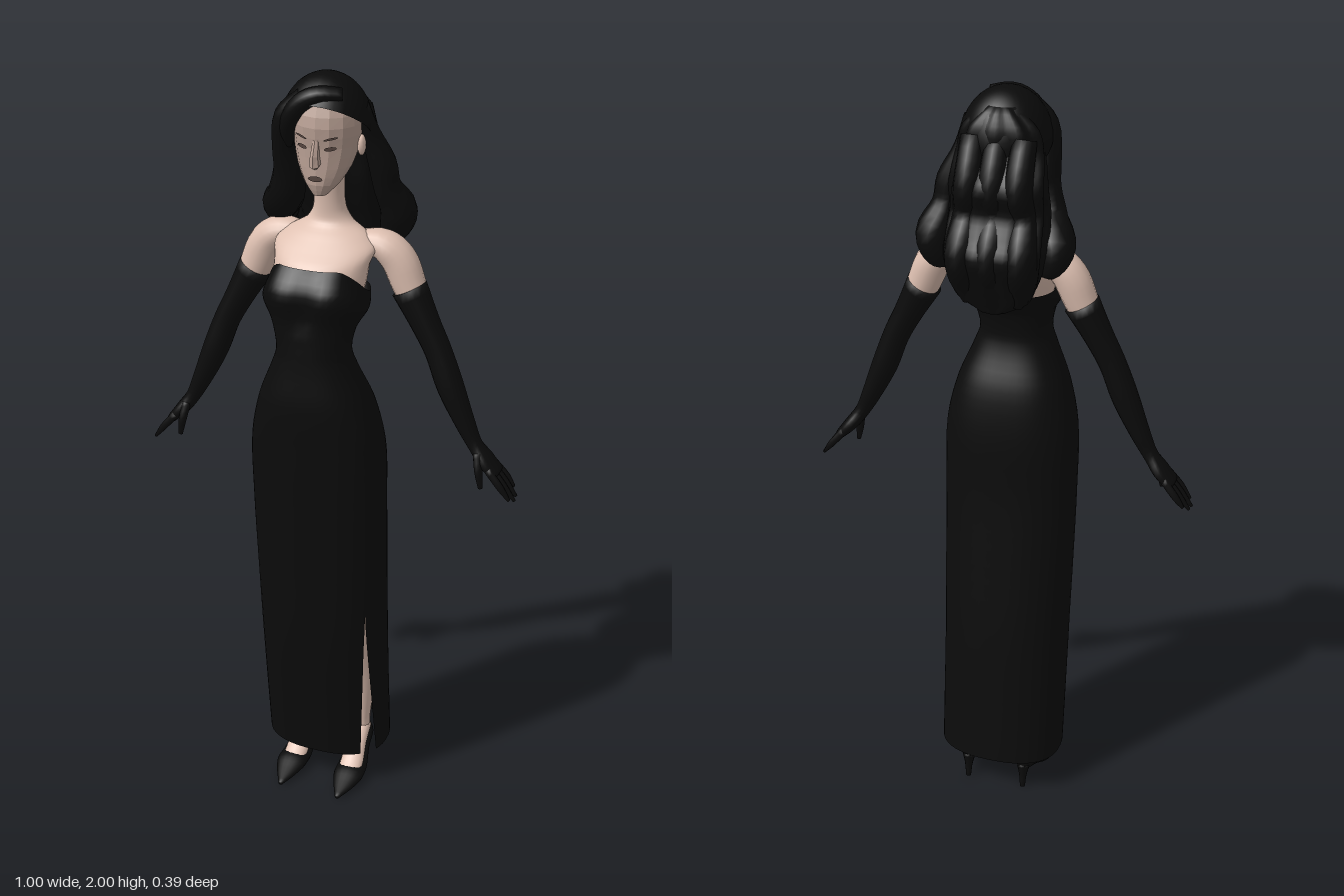
import * as THREE from 'three';

const V = (x, y, z) => new THREE.Vector3(x, y, z);
const mat = (name, color, extra = {}) =>
  Object.assign(new THREE.MeshStandardMaterial({ color, side: THREE.DoubleSide, ...extra }), { name });

// Lofts rings along points [x, y, z, radiusAlongN, radiusAcross], smoothed by a spline.
// dir fixes the ring plane; without it rings stay square to the path.
function loft(pts, { N = V(0, 0, 1), dir = null, seg = 16, sub = 4, p = 1, warp = null, range = null, caps = true } = {}) {
  const path = new THREE.CatmullRomCurve3(pts.map(q => V(q[0], q[1], q[2])));
  const size = new THREE.CatmullRomCurve3(pts.map(q => V(q[3], q[4], q[1])));
  const rows = (pts.length - 1) * sub, pos = [], idx = [];
  const pw = v => Math.sign(v) * Math.abs(v) ** p;
  for (let i = 0; i <= rows; i++) {
    const t = i / rows, c = path.getPoint(t), r = size.getPoint(t);
    const T = dir || path.getTangent(t);
    const n = N.clone().addScaledVector(T, -N.dot(T)).normalize();
    const b = n.clone().cross(T);
    const [t0, t1] = range ? range(c.y) : [0, Math.PI * 2];
    for (let j = 0; j <= seg; j++) {
      const a = t0 + (t1 - t0) * j / seg;
      const v = c.clone().addScaledVector(n, r.x * pw(Math.cos(a))).addScaledVector(b, r.y * pw(Math.sin(a)));
      if (warp) warp(v, a, c, t);
      pos.push(v.x, v.y, v.z);
    }
  }
  const w = seg + 1;
  for (let i = 0; i < rows; i++) for (let j = 0; j < seg; j++) {
    const a = i * w + j, d = range ? a + 1 : i * w + (j + 1) % seg;
    idx.push(a, a + w, d, d, a + w, d + w);
  }
  if (caps) for (const [row, flip] of [[0, false], [rows, true]]) {
    const c = path.getPoint(row / rows), k = pos.length / 3;
    pos.push(c.x, c.y, c.z);
    for (let j = 0; j < seg; j++) {
      const a = row * w + j, d = row * w + (j + 1) % seg;
      flip ? idx.push(k, d, a) : idx.push(k, a, d);
    }
  }
  const g = new THREE.BufferGeometry();
  g.setAttribute('position', new THREE.Float32BufferAttribute(pos, 3));
  g.setIndex(idx);
  g.computeVertexNormals();
  return g;
}

// Horizontal body sections [y, halfWidth, zFront, zBack, centreX]
const body = (rows, opt = {}) => loft(
  rows.map(([y, a, f, b, x = 0]) => [x, y, (f + b) / 2, a, (f - b) / 2]),
  { N: V(1, 0, 0), dir: V(0, 1, 0), seg: 28, ...opt });

export function createModel() {
  const model = new THREE.Group();
  const black = mat('black cloth', 0x0b0b0b);
  const hairMat = mat('black hair', 0x0a0a0a);
  const skin = mat('skin', 0xdec0b1);
  const faceMat = mat('shaded face skin', 0xb9a094, { flatShading: true });
  const makeup = mat('dark makeup', 0x55453f);
  const add = (name, geo, m, parent = model) => {
    const mesh = new THREE.Mesh(geo, m);
    mesh.name = name;
    parent.add(mesh);
    return mesh;
  };

  // Long strapless dress, open along a slit at the front left
  const slit = 0.61;
  add('dress', body([
    [0.11, 0.168, 0.115, -0.13], [0.3, 0.169, 0.138, -0.11], [0.5, 0.17, 0.16, -0.09], [0.7, 0.173, 0.171, -0.066],
    [0.9, 0.175, 0.181, -0.045], [1.08, 0.172, 0.19, -0.035], [1.2, 0.145, 0.195, -0.015], [1.29, 0.108, 0.188, 0.02],
    [1.34, 0.092, 0.185, 0.03], [1.42, 0.108, 0.183, 0.015], [1.5, 0.13, 0.198, -0.015], [1.56, 0.12, 0.155, -0.04],
  ], {
    p: 0.82, seg: 48, caps: false,
    range: y => {
      const gap = 0.2 * Math.max(0, (0.58 - y) / 0.47);
      return [slit + gap, slit + Math.PI * 2 - gap];
    },
    warp: (v, a, c) => {
      const s = Math.sin(a), k = THREE.MathUtils.clamp((c.y - 1.4) / 0.16, 0, 1);
      if (s > 0) v.z -= 0.016 * Math.exp(-((v.x / 0.03) ** 2)) * Math.sin(k * Math.PI);
      v.y -= 0.08 * k * (1 - THREE.MathUtils.clamp((s + 0.1) / 0.9, 0, 1));
    },
  }), black);

  // Upper chest, shoulders and neck
  add('chestAndNeck', body([
    [1.36, 0.08, 0.165, 0.045], [1.44, 0.1, 0.16, 0.01], [1.5, 0.116, 0.16, -0.02], [1.55, 0.12, 0.143, -0.04],
    [1.585, 0.128, 0.1, -0.05], [1.612, 0.1, 0.065, -0.05], [1.635, 0.06, 0.036, -0.045], [1.67, 0.041, 0.032, -0.035],
    [1.77, 0.04, 0.045, -0.025],
  ]), skin);

  // Head with faceted face
  const head = new THREE.Group();
  head.name = 'head';
  model.add(head);
  add('face', body([
    [1.722, 0.018, 0.083, 0.045], [1.75, 0.044, 0.092, 0], [1.79, 0.067, 0.092, -0.04], [1.84, 0.08, 0.092, -0.07],
    [1.89, 0.085, 0.098, -0.08], [1.94, 0.077, 0.084, -0.07], [1.97, 0.04, 0.05, -0.04],
  ], { seg: 16, sub: 2 }), faceMat, head);
  add('nose', loft([[0, 1.86, 0.09, 0.008, 0.008], [0, 1.825, 0.098, 0.014, 0.011], [0, 1.803, 0.098, 0.016, 0.014],
    [0, 1.795, 0.092, 0.006, 0.006]], { seg: 6, sub: 1 }), faceMat, head);
  const plate = (name, x, y, z, w, h, ry, rz) => {
    const m = add(name, new THREE.CircleGeometry(1, 14), makeup, head);
    m.scale.set(w, h, 1);
    m.position.set(x, y, z);
    m.rotation.set(0, ry, rz);
  };
  plate('lips', 0, 1.768, 0.096, 0.018, 0.007, 0, 0);
  for (const s of [1, -1]) {
    plate('eye', s * 0.035, 1.843, 0.0885, 0.015, 0.005, s * 0.4, s * 0.12);
    plate('eyebrow', s * 0.037, 1.868, 0.091, 0.018, 0.0028, s * 0.4, s * 0.2);
    const ear = add('ear', new THREE.SphereGeometry(1, 10, 8), skin, head);
    ear.scale.set(0.01, 0.026, 0.016);
    ear.position.set(s * 0.084, 1.835, 0.008);
  }

  // Hair: crown cap, rippled back mass and rolled side locks
  const hair = new THREE.Group();
  hair.name = 'hair';
  model.add(hair);
  const cap = add('crownHair', new THREE.SphereGeometry(1, 28, 14, 0, Math.PI * 2, 0, 1.58)
    .rotateX(-0.6).scale(0.111, 0.13, 0.112), hairMat, hair);
  cap.position.set(-0.008, 1.87, 0);
  const ripple = (v, a, c) => {
    const k = 1 + 0.055 * Math.cos(9 * a + 1.2 * Math.sin(c.y * 14));
    v.x = c.x + (v.x - c.x) * k;
    v.z = c.z + (v.z - c.z) * k;
  };
  add('backHair', body([
    [1.48, 0.03, -0.115, -0.145], [1.51, 0.085, -0.09, -0.155], [1.56, 0.11, -0.065, -0.172], [1.63, 0.125, -0.045, -0.19],
    [1.68, 0.125, -0.03, -0.165], [1.73, 0.122, -0.018, -0.142], [1.79, 0.116, -0.01, -0.155], [1.86, 0.105, 0, -0.112],
    [1.92, 0.09, 0, -0.105], [1.97, 0.035, -0.02, -0.08],
  ].map(r => [...r, -0.012]), { seg: 56, warp: ripple }), hairMat, hair);
  const lock = (name, pts) => add(name, loft(pts, { seg: 14 }), hairMat, hair);
  lock('leftLock', [[0.07, 1.92, -0.01, 0.03, 0.025], [0.092, 1.85, -0.03, 0.035, 0.022], [0.118, 1.775, -0.045, 0.04, 0.034],
    [0.128, 1.715, -0.055, 0.038, 0.034], [0.148, 1.645, -0.085, 0.052, 0.046], [0.13, 1.59, -0.09, 0.035, 0.035], [0.11, 1.57, -0.09, 0.008, 0.008]]);
  lock('rightLock', [[-0.045, 1.955, 0.05, 0.03, 0.02], [-0.09, 1.9, 0.045, 0.04, 0.03], [-0.102, 1.82, 0.03, 0.042, 0.03],
    [-0.098, 1.755, 0.02, 0.038, 0.038], [-0.112, 1.69, 0, 0.045, 0.046], [-0.15, 1.635, -0.06, 0.05, 0.046], [-0.14, 1.59, -0.085, 0.03, 0.03], [-0.12, 1.575, -0.09, 0.008, 0.008]]);
  lock('sweptFringe', [[0.05, 1.965, 0.05, 0.02, 0.015], [0, 1.965, 0.07, 0.024, 0.02], [-0.045, 1.94, 0.075, 0.024, 0.024],
    [-0.078, 1.89, 0.066, 0.026, 0.022], [-0.09, 1.83, 0.05, 0.015, 0.015]]);
  for (const x of [-0.075, -0.01, 0.05])
    lock('backCurl', [[x, 1.9, -0.08, 0.025, 0.03], [x, 1.79, -0.125, 0.034, 0.034], [x * 1.1, 1.72, -0.115, 0.026, 0.034],
      [x * 1.2, 1.63, -0.15, 0.045, 0.04], [x * 1.1, 1.55, -0.13, 0.035, 0.036], [x, 1.5, -0.13, 0.012, 0.012]]);

  for (const s of [1, -1]) {
    const side = s > 0 ? 'left' : 'right';
    const limb = (name, pts, m, opt) => add(side + name, loft(pts.map(([x, ...r]) => [s * x, ...r]), opt), m);

    // Bare upper arm and long glove
    limb('UpperArm', [[0.08, 1.585, -0.01, 0.035, 0.03], [0.135, 1.582, -0.014, 0.045, 0.038], [0.172, 1.55, -0.017, 0.046, 0.044],
      [0.2, 1.49, -0.016, 0.041, 0.043], [0.222, 1.44, -0.014, 0.036, 0.036]], skin);
    limb('Glove', [[0.203, 1.478, -0.014, 0.043, 0.046], [0.247, 1.395, -0.01, 0.037, 0.037], [0.283, 1.325, -0.008, 0.034, 0.034],
      [0.318, 1.235, -0.006, 0.035, 0.034], [0.36, 1.14, -0.006, 0.028, 0.025], [0.388, 1.085, -0.006, 0.023, 0.019],
      [0.418, 1.045, -0.008, 0.037, 0.018], [0.448, 1.012, -0.008, 0.036, 0.013]], black);
    [[-0.041, 0.485, 0.965], [-0.02, 0.497, 0.95], [0.002, 0.499, 0.948], [0.023, 0.49, 0.958]].forEach(([z, x, y]) =>
      limb('Finger', [[0.43, 1.032, z * 0.85, 0.01, 0.01], [0.466, 0.99, z, 0.01, 0.009], [x, y, z, 0.005, 0.004]], black, { seg: 8 }));
    limb('Thumb', [[0.4, 1.07, 0.012, 0.012, 0.012], [0.408, 1.025, 0.024, 0.012, 0.011], [0.415, 0.98, 0.026, 0.005, 0.006]], black, { seg: 8 });

    // Leg, foot and pointed high-heeled shoe
    limb('Leg', [[0.08, 0.07, -0.055, 0.024, 0.02], [0.08, 0.14, -0.053, 0.023, 0.021], [0.085, 0.31, -0.042, 0.041, 0.038],
      [0.09, 0.5, 0.015, 0.043, 0.042], [0.085, 0.75, 0.05, 0.06, 0.06]], skin);
    limb('Foot', [[0.08, 0.105, -0.062, 0.022, 0.022], [0.08, 0.078, -0.012, 0.026, 0.022], [0.083, 0.036, 0.05, 0.032, 0.018],
      [0.085, 0.02, 0.09, 0.025, 0.01]], skin, { N: V(1, 0, 0) });
    limb('Shoe', [[0.08, 0.085, -0.088, 0.012, 0.014], [0.08, 0.08, -0.065, 0.028, 0.026], [0.08, 0.055, -0.02, 0.032, 0.022],
      [0.083, 0.025, 0.035, 0.041, 0.022], [0.085, 0.022, 0.075, 0.042, 0.021], [0.085, 0.014, 0.12, 0.028, 0.013], [0.084, 0.006, 0.165, 0.006, 0.005]],
      black, { N: V(1, 0, 0), dir: V(0, 0, 1) });
    limb('Heel', [[0.08, 0.075, -0.07, 0.021, 0.02], [0.08, 0.04, -0.076, 0.011, 0.011], [0.08, 0, -0.08, 0.007, 0.007]], black, { seg: 10 });
  }
  return model;
}
